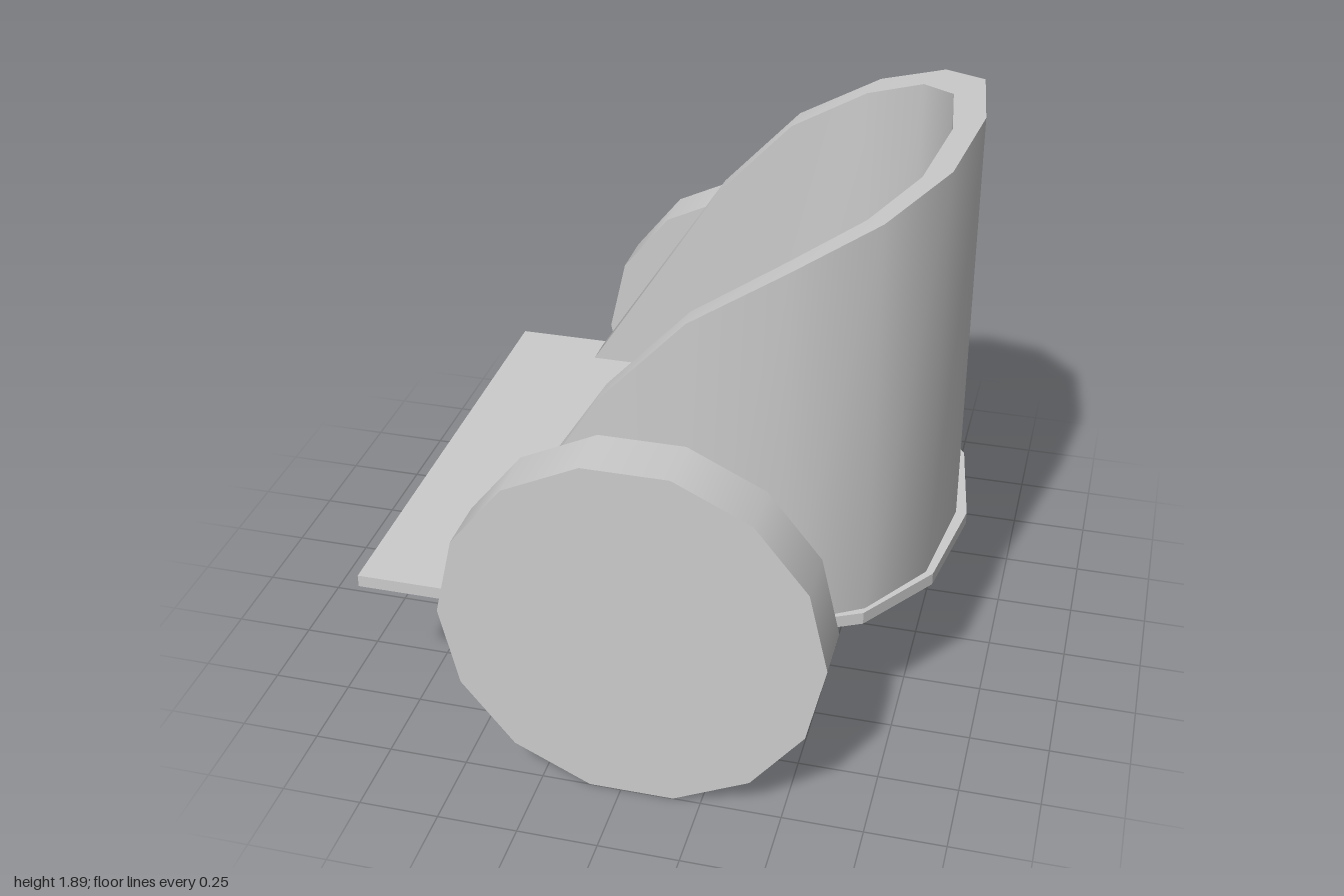
import * as THREE from 'three';
import { toCreasedNormals } from 'three/addons/utils/BufferGeometryUtils.js';

const grey = new THREE.MeshStandardMaterial({ color: 0xcccccc });

function part(name, geometry) {
  const mesh = new THREE.Mesh(geometry, grey);
  mesh.name = name;
  return mesh;
}

// Floor plate: straight at the open end, rounded at the other
function floorGeometry() {
  const half = [[-0.895, 0.81], [-0.04, 0.81], [0.37, 0.757], [0.66, 0.612], [0.833, 0.36]];
  const outline = [...half, [0.89, 0], ...half.map(([x, z]) => [x, -z]).reverse()];
  const shape = new THREE.Shape(outline.map(([x, z]) => new THREE.Vector2(x, z)));
  const geometry = new THREE.ExtrudeGeometry(shape, { depth: 0.04, bevelEnabled: false });
  geometry.rotateX(-Math.PI / 2);
  geometry.translate(0, 0.47, 0);
  return toCreasedNormals(geometry, 0.3);
}

// Height of the sloping rim at a given x
function rimHeight(x) {
  const profile = [[-0.58, 0.51], [-0.11, 1.24], [0.15, 1.52], [0.43, 1.69], [0.856, 1.89]];
  let i = 0;
  while (i < profile.length - 2 && x > profile[i + 1][0]) i++;
  const [[x0, y0], [x1, y1]] = [profile[i], profile[i + 1]];
  return y0 + (y1 - y0) * (x - x0) / (x1 - x0);
}

// U-shaped wall: a four-cornered section swept around the floor
function wallGeometry() {
  const base = 0.505;
  // outer x, outer z, inner x, inner z
  const half = [
    [-0.58, 0.772, -0.58, 0.68], [-0.11, 0.772, -0.11, 0.68], [0.15, 0.772, 0.14, 0.68],
    [0.43, 0.726, 0.4, 0.635], [0.66, 0.587, 0.6, 0.515], [0.81, 0.355, 0.72, 0.317],
  ];
  const plan = [...half, [0.855, 0, 0.76, 0], ...half.map(([a, b, c, d]) => [a, -b, c, -d]).reverse()];
  const sections = plan.map(([ox, oz, ix, iz]) => [
    [ox, base, oz], [ox, rimHeight(ox), oz], [ix, rimHeight(ix), iz], [ix, base, iz],
  ]);
  const positions = [];
  const quad = (a, b, c, d) => positions.push(...a, ...b, ...c, ...a, ...c, ...d);
  for (let i = 0; i < sections.length - 1; i++) {
    const s = sections[i], t = sections[i + 1];
    for (let k = 0; k < 4; k++) {
      const n = (k + 1) % 4;
      quad(s[k], t[k], t[n], s[n]);
    }
  }
  quad(...sections[0]);
  quad(...sections[sections.length - 1].slice().reverse());
  const geometry = new THREE.BufferGeometry();
  geometry.setAttribute('position', new THREE.Float32BufferAttribute(positions, 3));
  return toCreasedNormals(geometry, 0.6);
}

export function createModel() {
  const model = new THREE.Group();
  model.name = 'chariot';
  model.add(part('floor', floorGeometry()), part('wall', wallGeometry()));

  // Solid fourteen-sided wheels
  const wheelGeometry = new THREE.CylinderGeometry(0.59, 0.59, 0.18, 14);
  wheelGeometry.rotateY(Math.PI / 2).rotateX(Math.PI / 2);
  for (const side of [1, -1]) {
    const wheel = part(side > 0 ? 'frontWheel' : 'backWheel', wheelGeometry);
    wheel.position.set(0.033, 0.577, side * 0.91);
    model.add(wheel);
  }
  return model;
}
